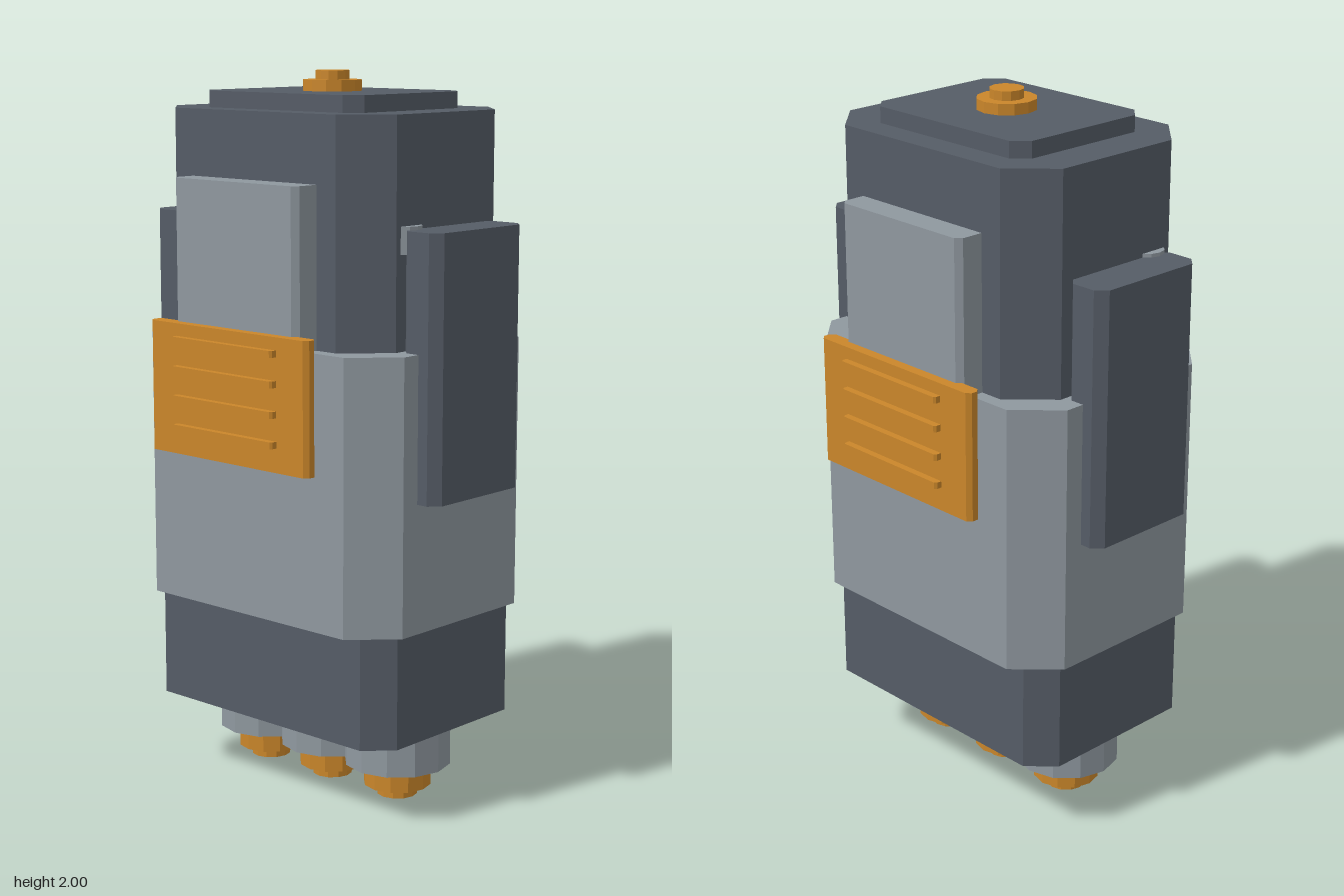
import * as THREE from 'three';

const mat = (name, color) => {
  const m = new THREE.MeshStandardMaterial({ color });
  m.name = name;
  return m;
};

export function createModel() {
  const dark = mat('dark slate', 0x555c66);
  const grey = mat('light grey', 0x8f989f);
  const orange = mat('orange', 0xca862a);
  const model = new THREE.Group();
  model.name = 'model';

  const add = (name, geometry, material, parent = model) => {
    const mesh = new THREE.Mesh(geometry, material);
    mesh.name = name;
    parent.add(mesh);
    return mesh;
  };

  // Upright block with its four vertical edges chamfered by c
  const block = (name, material, x0, x1, y0, y1, z0, z1, c, parent) => {
    const s = new THREE.Shape([
      [x0 + c, -z1], [x1 - c, -z1], [x1, -z1 + c], [x1, -z0 - c],
      [x1 - c, -z0], [x0 + c, -z0], [x0, -z0 - c], [x0, -z1 + c],
    ].map(([x, y]) => new THREE.Vector2(x, y)));
    const g = new THREE.ExtrudeGeometry(s, { depth: y1 - y0, bevelEnabled: false });
    g.rotateX(-Math.PI / 2).translate(0, y0, 0);
    return add(name, g, material, parent);
  };

  // Upright faceted cylinder
  const drum = (name, material, x, z, r, y0, y1, parent) => {
    const g = new THREE.CylinderGeometry(r, r, y1 - y0, 12).toNonIndexed();
    g.computeVertexNormals();
    g.translate(x, (y0 + y1) / 2, z);
    return add(name, g, material, parent);
  };

  // Stacked body
  block('lowerBody', dark, -0.445, 0.445, 0.23, 0.55, -0.3, 0.3, 0.07);
  block('middleBody', grey, -0.468, 0.468, 0.543, 1.29, -0.347, 0.347, 0.11);
  block('upperBody', dark, -0.405, 0.405, 1.2, 1.9, -0.308, 0.308, 0.11);
  block('topPlate', dark, -0.285, 0.285, 1.89, 1.945, -0.228, 0.228, 0.04);

  // Top knob
  drum('knobBase', orange, 0, 0, 0.082, 1.94, 1.975);
  drum('knobCap', orange, 0, 0, 0.047, 1.97, 2.0);

  // Panels and ribbed plates on front and back
  for (const [side, turn] of [['front', 0], ['back', Math.PI]]) {
    const face = new THREE.Group();
    face.name = side + 'Face';
    face.rotation.y = turn;
    model.add(face);
    block(side + 'Panel', grey, -0.228, 0.228, 1.155, 1.72, 0.28, 0.387, 0.016, face);
    block(side + 'Plate', orange, -0.293, 0.293, 0.975, 1.333, 0.375, 0.417, 0.012, face);
    for (let i = 0; i < 4; i++) {
      const y = 1.05 + i * 0.08;
      block(side + 'Rib', orange, -0.186, 0.186, y - 0.009, y + 0.009, 0.405, 0.437, 0.006, face);
    }
  }

  // Side pods with small pegs tucked behind them
  for (const s of [1, -1]) {
    const [a, b] = s > 0 ? [0.4, 0.528] : [-0.528, -0.4];
    block('sidePod', dark, a, b, 0.895, 1.605, -0.182, 0.182, 0.028);
    drum('sidePeg', grey, s * 0.378, 0.14, 0.05, 1.543, 1.615);
  }

  // Three nozzles underneath
  for (const x of [-0.247, 0, 0.247]) {
    drum('nozzleHousing', grey, x, 0, 0.15, 0.095, 0.24);
    drum('nozzleRing', orange, x, 0, 0.095, 0.03, 0.1);
    drum('nozzleTip', orange, x, 0, 0.057, 0, 0.035);
  }

  return model;
}
